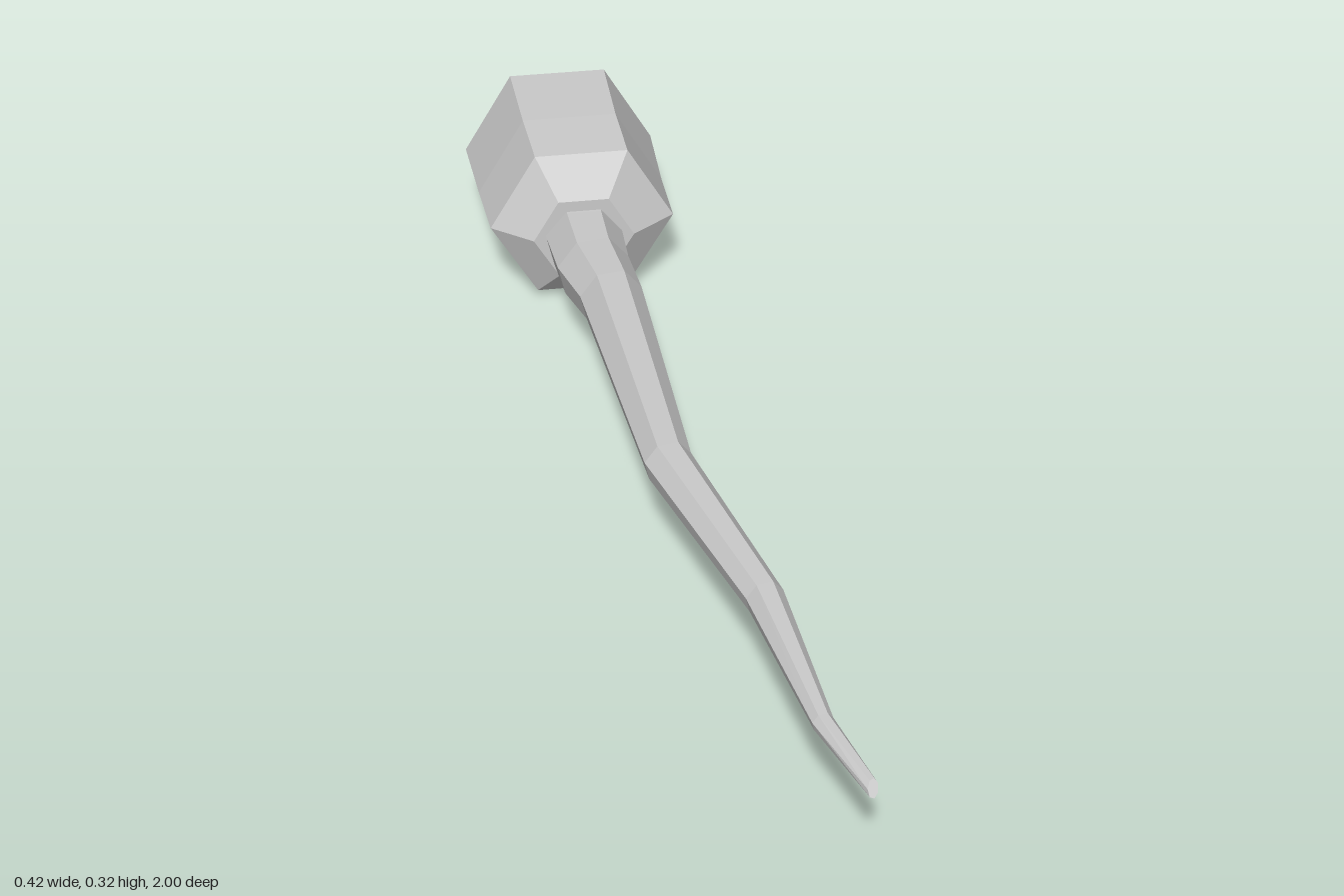
import * as THREE from 'three';

// Skins a closed solid through polygonal rings, ordered back to front.
// Ring: [x, y, z, radius, tiltX, tiltY]; the tilts lean the ring along z.
function loft(name, rings, sides, startAngle, material) {
  const positions = [];
  const index = [];
  for (const [x, y, z, r, tiltX = 0, tiltY = 0] of rings) {
    for (let j = 0; j < sides; j++) {
      const a = startAngle + (j / sides) * Math.PI * 2;
      const dx = Math.cos(a) * r;
      const dy = Math.sin(a) * r;
      positions.push(x + dx, y + dy, z - dx * tiltX - dy * tiltY);
    }
  }
  // side walls
  for (let i = 0; i < rings.length - 1; i++) {
    for (let j = 0; j < sides; j++) {
      const k = (j + 1) % sides;
      const a = i * sides + j, b = i * sides + k;
      index.push(a, b, b + sides, a, b + sides, a + sides);
    }
  }
  // end caps
  const last = (rings.length - 1) * sides;
  for (let j = 1; j < sides - 1; j++) {
    index.push(0, j + 1, j);
    index.push(last, last + j, last + j + 1);
  }
  const indexed = new THREE.BufferGeometry();
  indexed.setAttribute('position', new THREE.Float32BufferAttribute(positions, 3));
  indexed.setIndex(index);
  const geometry = indexed.toNonIndexed();
  geometry.computeVertexNormals();
  const mesh = new THREE.Mesh(geometry, material);
  mesh.name = name;
  return mesh;
}

export function createModel() {
  const model = new THREE.Group();
  model.name = 'clubHammer';
  const material = new THREE.MeshStandardMaterial({ color: 0xcccccc, flatShading: true });

  // Six-sided head with bevelled ends
  model.add(loft('head', [
    [-0.024, 0.157, -1.0, 0.091],
    [-0.028, 0.158, -0.95, 0.181],
    [-0.025, 0.167, -0.78, 0.175],
    [-0.018, 0.167, -0.655, 0.172],
    [-0.02, 0.16, -0.61, 0.094],
  ], 6, 0, material));

  // Crooked seven-sided handle tapering to a thin tip
  model.add(loft('handle', [
    [-0.02, 0.153, -0.64, 0.074],
    [-0.02, 0.154, -0.605, 0.073],
    [-0.017, 0.164, -0.5, 0.068, 0.15, 0.05],
    [0.0, 0.181, -0.38, 0.058, 0.15, 0.05],
    [0.024, 0.217, 0.155, 0.041, 0.2, 0.05],
    [0.121, 0.229, 0.53, 0.0315, 0.2, 0.05],
    [0.156, 0.237, 0.83, 0.017, 0.2, 0.1],
    [0.2, 0.245, 0.985, 0.009, 0.6, 1.3],
  ], 7, -Math.PI / 2, material));

  return model;
}
